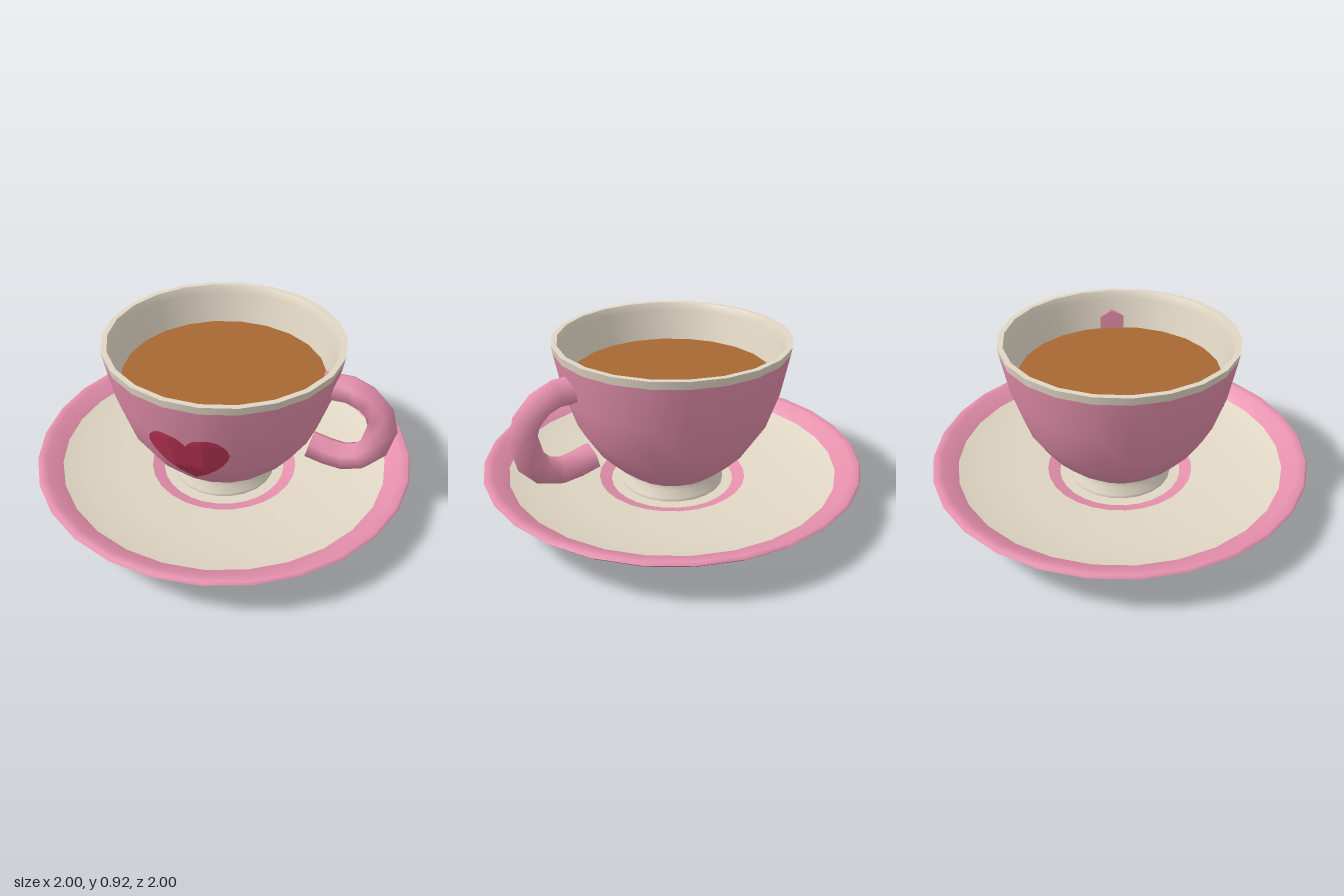
import * as THREE from 'three';

const CUP_SIDES = 22, SAUCER_SIDES = 28;

const material = (name, color, side = THREE.FrontSide) => {
  const m = new THREE.MeshStandardMaterial({ color, side });
  m.name = name;
  return m;
};

// Outer bowl profile [radius, height], from the foot to the cream lip
const bowlProfile = [[0.25, 0.19], [0.34, 0.265], [0.415, 0.345], [0.5, 0.48], [0.562, 0.67], [0.602, 0.88]];

function bowlRadius(y) {
  for (let i = 1; i < bowlProfile.length; i++) {
    const [r0, y0] = bowlProfile[i - 1], [r1, y1] = bowlProfile[i];
    if (y <= y1) return r0 + (r1 - r0) * (y - y0) / (y1 - y0);
  }
  return 0.602;
}

// Depth of the faceted front of the bowl at a given x and y
function bowlDepth(x, y) {
  const apothem = bowlRadius(y) * Math.cos(Math.PI / CUP_SIDES);
  let z = Infinity;
  for (let k = -3; k <= 3; k++) {
    const a = k * 2 * Math.PI / CUP_SIDES;
    z = Math.min(z, (apothem - x * Math.sin(a)) / Math.cos(a));
  }
  return z;
}

// Heart laid over the bowl as columns between its lower and upper outline
function heartGeometry() {
  const cols = 48, rows = 12, pos = [], index = [];
  for (let i = 0; i <= cols; i++) {
    const x = -0.2 + 0.4 * i / cols, ax = Math.abs(x);
    const w = ax > 0.1 ? 0.1 : 0.11;
    const top = 0.605 + 0.105 * Math.sqrt(Math.max(0, 1 - ((ax - 0.1) / w) ** 2));
    const bottom = 0.36 + 0.98 * ax + 0.049 * (ax / 0.2) ** 10;
    for (let j = 0; j <= rows; j++) {
      const y = bottom + (top - bottom) * j / rows;
      pos.push(x, y, bowlDepth(x, y) + 0.006);
      if (i < cols && j < rows) {
        const a = i * (rows + 1) + j, b = a + rows + 1;
        index.push(a, b, b + 1, a, b + 1, a + 1);
      }
    }
  }
  const g = new THREE.BufferGeometry();
  g.setAttribute('position', new THREE.Float32BufferAttribute(pos, 3));
  g.setIndex(index);
  g.computeVertexNormals();
  return g;
}

// Six-sided tube swept along the handle, with a ridge facing outward and capped ends
function handleGeometry() {
  const path = [[0.515, 0.75], [0.645, 0.748], [0.73, 0.712], [0.8, 0.64], [0.825, 0.55],
    [0.795, 0.425], [0.735, 0.362], [0.65, 0.335], [0.565, 0.345], [0.47, 0.37]]
    .map(([x, y]) => new THREE.Vector3(x, y, 0));
  const sides = 6, radius = 0.075, last = path.length - 1, pos = [], index = [];
  const ring = i => {
    const t = path[Math.min(i + 1, last)].clone().sub(path[Math.max(i - 1, 0)]).normalize();
    for (let s = 0; s < sides; s++) {
      const a = s * 2 * Math.PI / sides, c = Math.cos(a) * radius;
      pos.push(path[i].x - t.y * c, path[i].y + t.x * c, Math.sin(a) * radius);
    }
  };
  for (let i = 0; i <= last; i++) {
    ring(i);
    if (i === last) break;
    for (let s = 0; s < sides; s++) {
      const a = i * sides + s, b = i * sides + (s + 1) % sides;
      index.push(a, b, b + sides, a, b + sides, a + sides);
    }
  }
  for (const end of [0, last]) {
    const base = pos.length / 3;
    ring(end);
    for (let s = 1; s < sides - 1; s++) {
      if (end) index.push(base, base + s, base + s + 1);
      else index.push(base, base + s + 1, base + s);
    }
  }
  const g = new THREE.BufferGeometry();
  g.setAttribute('position', new THREE.Float32BufferAttribute(pos, 3));
  g.setIndex(index);
  g.computeVertexNormals();
  return g;
}

export function createModel() {
  const model = new THREE.Group();
  model.name = 'cupAndSaucer';
  const pink = material('pink glaze', 0xe48fab);
  const handlePink = pink;
  const cream = material('cream glaze', 0xe0d6c4);
  const red = material('heart red', 0xc03558, THREE.DoubleSide);
  const tea = material('tea brown', 0xa86833);

  const add = (parent, name, geometry, mat) => {
    const mesh = new THREE.Mesh(geometry, mat);
    mesh.name = name;
    parent.add(mesh);
    return mesh;
  };
  const turner = (parent, sides, start) => (name, mat, profile) =>
    add(parent, name, new THREE.LatheGeometry(profile.map(p => new THREE.Vector2(...p)), sides, start), mat);

  // Saucer, from the middle of the underside outward, over the rim and back in
  const saucer = new THREE.Group();
  saucer.name = 'saucer';
  model.add(saucer);
  const plate = turner(saucer, SAUCER_SIDES, 0);
  plate('saucerBase', cream, [[0, 0], [0.33, 0]]);
  plate('baseRing', pink, [[0.33, 0], [0.4, 0]]);
  plate('baseEdge', cream, [[0.4, 0], [0.46, 0]]);
  plate('saucerFoot', cream, [[0.46, 0], [0.495, 0.042]]);
  plate('saucerUnderside', cream, [[0.495, 0.042], [0.78, 0.125], [0.872, 0.17]]);
  plate('rimUnderside', pink, [[0.872, 0.17], [0.975, 0.222], [1, 0.245]]);
  plate('rimTop', pink, [[1, 0.245], [0.99, 0.26], [0.95, 0.256], [0.872, 0.205]]);
  plate('saucerTop', cream, [[0.872, 0.205], [0.76, 0.172], [0.58, 0.147], [0.395, 0.13]]);
  plate('wellRing', pink, [[0.395, 0.13], [0.33, 0.11]]);
  plate('well', cream, [[0.33, 0.11], [0, 0.11]]);

  // Cup
  const cup = new THREE.Group();
  cup.name = 'cup';
  model.add(cup);
  const turn = turner(cup, CUP_SIDES, Math.PI / 2);
  turn('cupFoot', cream, [[0.275, 0.112], [0.275, 0.13], [0.25, 0.165], [0.25, 0.2]]);
  turn('bowl', pink, bowlProfile);
  turn('lipOutside', cream, [[0.602, 0.88], [0.608, 0.92]]);
  turn('lipTop', cream, [[0.608, 0.92], [0.58, 0.92]]);
  turn('bowlInside', cream, [[0.58, 0.92], [0.56, 0.88], [0.523, 0.72], [0.45, 0.48], [0.3, 0.28], [0, 0.23]]);

  const drink = add(cup, 'tea', new THREE.CircleGeometry(0.524, CUP_SIDES), tea);
  drink.rotation.x = -Math.PI / 2;
  drink.position.y = 0.72;

  add(cup, 'handle', handleGeometry(), handlePink);
  add(cup, 'heart', heartGeometry(), red);
  return model;
}
